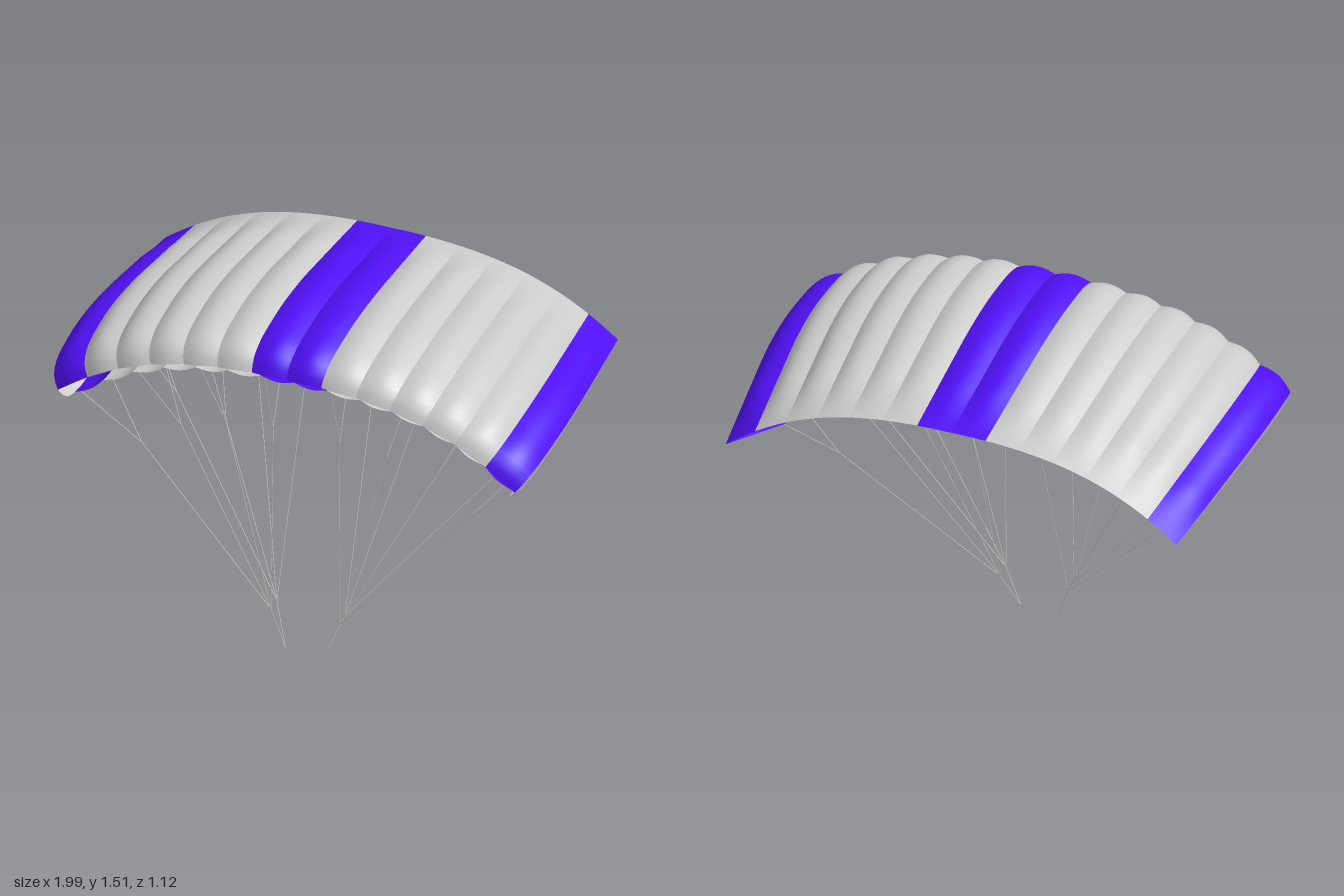
import * as THREE from 'three';
import { mergeGeometries } from 'three/addons/utils/BufferGeometryUtils.js';

const GREY = 0xcccccc, BLUE = 0x5010f5;
const R = 1.66, CY = -0.275;             // span arc: radius and centre height
const HALF = 7, TIP = 0.595, STEP = TIP / HALF; // cells per side, tip angle, angle of one cell
const TE = -0.56;                        // trailing edge z

// Wing section as (z, height): trailing edge, over the top, round the nose, back underneath
const section = new THREE.CatmullRomCurve3([
  [TE, 0], [-0.4, 0.027], [-0.2, 0.06], [0, 0.091], [0.18, 0.105], [0.33, 0.102], [0.44, 0.09],
  [0.515, 0.06], [0.548, 0.005], [0.525, -0.032], [0.44, -0.053], [0.3, -0.056],
  [0.1, -0.047], [-0.1, -0.036], [-0.35, -0.017], [TE, 0],
].map(([z, u]) => new THREE.Vector3(z, u, 0)), false, 'centripetal');
const N = 80;
const profile = section.getSpacedPoints(N);
const normals = profile.map((p, i) => {
  const t = section.getTangentAt(i / N);
  return new THREE.Vector2(-t.y, t.x);
});

// Air intake: the skin is open between an upper and a lower lip
const upperLip = profile.findIndex((p, i) => i > 0 && p.y < 0) - 1;
const lowerLip = profile.findIndex((p, i) => i > upperLip && p.x < 0.48);

// Point on the canopy at span angle a, depth z, height u above the arc, and pushed outward along the span
function place(a, z, u, out = 0) {
  const d = a * 1.12;
  const shoulder = 0.025 * Math.sin(Math.PI * Math.min(1, Math.abs(a) / TIP) ** 1.5);
  return new THREE.Vector3(
    R * Math.sin(a) + u * Math.sin(d) + out * Math.cos(d),
    CY + R * Math.cos(a) + shoulder + u * Math.cos(d) - out * Math.sin(d), z);
}

function mesh(name, geometry, color) {
  const m = new THREE.Mesh(geometry, new THREE.MeshStandardMaterial({ color, side: THREE.DoubleSide }));
  m.name = name;
  return m;
}

// Smooth sheet of (rows + 1) x (cols + 1) points given by a rule
function sheet(rows, cols, rule, flip = false) {
  const pos = [], index = [];
  for (let i = 0; i <= rows; i++) {
    for (let j = 0; j <= cols; j++) {
      pos.push(...rule(i, j).toArray());
      if (i === rows || j === cols) continue;
      const k = i * (cols + 1) + j, l = k + cols + 1;
      if (flip) index.push(k, k + 1, l, k + 1, l + 1, l);
      else index.push(k, l, k + 1, k + 1, l, l + 1);
    }
  }
  const g = new THREE.BufferGeometry();
  g.setAttribute('position', new THREE.Float32BufferAttribute(pos, 3));
  g.setIndex(index);
  g.computeVertexNormals();
  return g;
}

// Skin of one cell between two seams, bulging most midway, along part of the section
function skin(a0, from, to) {
  const M = 10;
  return sheet(to - from, M, (i, j) => {
    const p = profile[from + i], n = normals[from + i];
    const size = from === 0 ? 0.021 : 0.014;
    const puff = size * Math.min(1, (p.x - TE) / 0.25, (0.62 - p.x) / 0.15);
    const b = puff * Math.sin(Math.PI * j / M);
    return place(a0 + STEP * j / M, p.x + n.x * b, p.y + n.y * b);
  });
}

// Domed wing tip spanning from the upper to the lower side of the section
function tipRib(side) {
  const M = 10;
  return sheet(N / 2, M, (i, j) => {
    const p = profile[i].clone().lerp(profile[N - i], j / M);
    const depth = profile[i].distanceTo(profile[N - i]);
    const out = 0.12 * depth * Math.sin(Math.PI * j / M);
    return place(side * TIP, p.x, p.y, side * out);
  }, side < 0);
}

// Underside of the section and the sloping lower edge of the stabilizer flap
const lower = profile.slice(lowerLip);
const lowerAt = z => lower.reduce((a, b) => Math.abs(b.x - z) < Math.abs(a.x - z) ? b : a).y;
const FLAP_FRONT = 0.45, FLAP_Z = -0.18, FLAP_U = -0.152;
const flapAt = z => z > FLAP_Z
  ? THREE.MathUtils.mapLinear(z, FLAP_FRONT, FLAP_Z, -0.053, FLAP_U)
  : THREE.MathUtils.mapLinear(z, FLAP_Z, TE, FLAP_U, 0);

function flap(side) {
  const zs = [...lower.map(p => p.x).filter(z => z < FLAP_FRONT && z > FLAP_Z), FLAP_Z, -0.3, -0.43, TE];
  return sheet(zs.length - 1, 1, (i, j) =>
    place(side * TIP, zs[i], j ? flapAt(zs[i]) : lowerAt(zs[i])), side < 0);
}

// Thin cord between two points
function cord(a, b) {
  const g = new THREE.CylinderGeometry(0.0018, 0.0018, a.distanceTo(b), 5);
  const dir = b.clone().sub(a).normalize();
  g.applyQuaternion(new THREE.Quaternion().setFromUnitVectors(new THREE.Vector3(0, 1, 0), dir));
  const mid = a.clone().add(b).multiplyScalar(0.5);
  return g.translate(mid.x, mid.y, mid.z);
}

export function createModel() {
  const model = new THREE.Group();
  model.name = 'parafoil';

  // Canopy cells, coloured in the middle and at both tips
  const canopy = new THREE.Group();
  canopy.name = 'canopy';
  for (let c = -HALF; c < HALF; c++) {
    const color = [-HALF, -1, 0, HALF - 1].includes(c) ? BLUE : GREY;
    canopy.add(mesh('upperSkin', skin(c * STEP, 0, upperLip), color));
    canopy.add(mesh('lowerSkin', skin(c * STEP, lowerLip, N), color));
  }
  model.add(canopy);

  for (const side of [-1, 1]) {
    const label = side > 0 ? 'left' : 'right';

    // Closed wing tip and the stabilizer flap hanging from it
    model.add(mesh(label + 'TipRib', tipRib(side), GREY));
    model.add(mesh(label + 'StabilizerFlap', flap(side), BLUE));

    // Suspension lines: riser, main lines and forked upper lines
    const cords = [];
    const foot = new THREE.Vector3(side * 0.08, 0, 0.355);
    const rows = [
      { knotZ: 0.352, forkZ: 0.337, reach: 0.72, attach: [0.44, 0.21] },
      { knotZ: 0.29, forkZ: -0.027, reach: 0.76, attach: [-0.03, -0.19] },
    ];
    for (const { knotZ, forkZ, reach, attach } of rows) {
      const knot = new THREE.Vector3(side * 0.14, 0.16, knotZ);
      cords.push(cord(foot, knot));
      for (const seam of [1, 3, 5, 7]) {
        const ends = attach.map(z => place(side * seam * STEP, z, seam === HALF ? flapAt(z) : lowerAt(z)));
        const fork = knot.clone().lerp(ends[0].clone().add(ends[1]).multiplyScalar(0.5), reach);
        fork.z = forkZ;
        cords.push(cord(knot, fork), ...ends.map(e => cord(fork, e)));
      }
    }
    model.add(mesh(label + 'SuspensionLines', mergeGeometries(cords), GREY));
  }
  return model;
}
